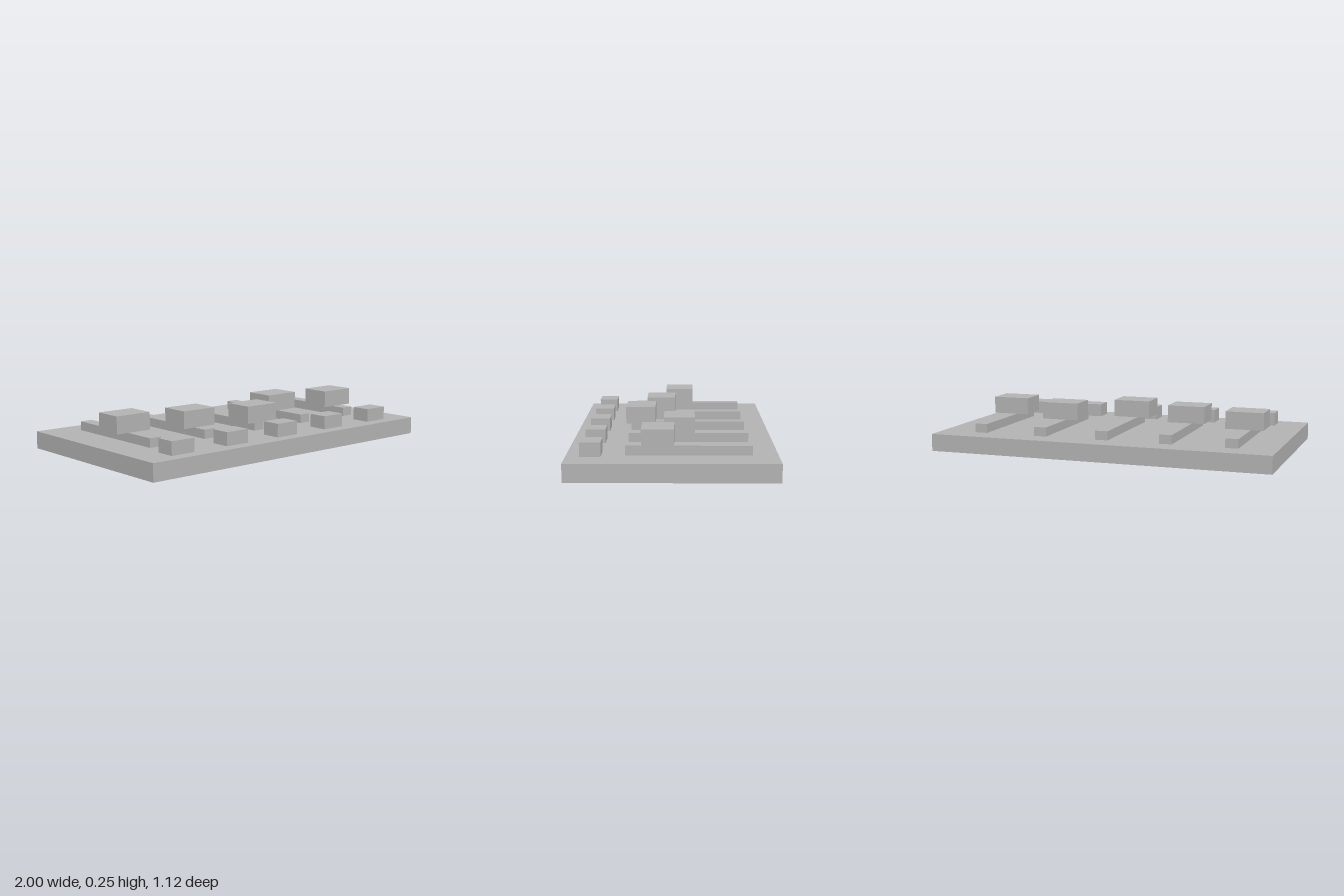
import * as THREE from 'three';

export function createModel() {
  const model = new THREE.Group();
  model.name = 'sliderPanel';
  const grey = new THREE.MeshStandardMaterial({ name: 'grey', color: 0xb2b2b2 });

  // Box resting on height y, centred on x and z
  function addBox(parent, name, [w, h, d], x, y, z) {
    const mesh = new THREE.Mesh(new THREE.BoxGeometry(w, h, d), grey);
    mesh.name = name;
    mesh.position.set(x, y + h / 2, z);
    parent.add(mesh);
  }

  const baseTop = 0.1;
  const trackHeight = 0.052;
  addBox(model, 'basePlate', [2, baseTop, 1.12], 0, 0, 0);

  // Five channels, each with a track, a sliding knob and a button
  const knobZ = [-0.037, 0.076, 0.19, -0.037, 0.076];
  knobZ.forEach((z, i) => {
    const channel = new THREE.Group();
    channel.name = `channel${i + 1}`;
    channel.position.x = (i - 2) * 0.375;
    addBox(channel, 'track', [0.074, trackHeight, 0.672], 0, baseTop, -0.087);
    addBox(channel, 'knob', [0.222, 0.1, 0.172], 0, baseTop + trackHeight, z);
    addBox(channel, 'button', [0.15, 0.077, 0.112], 0, baseTop, 0.43);
    model.add(channel);
  });

  return model;
}
